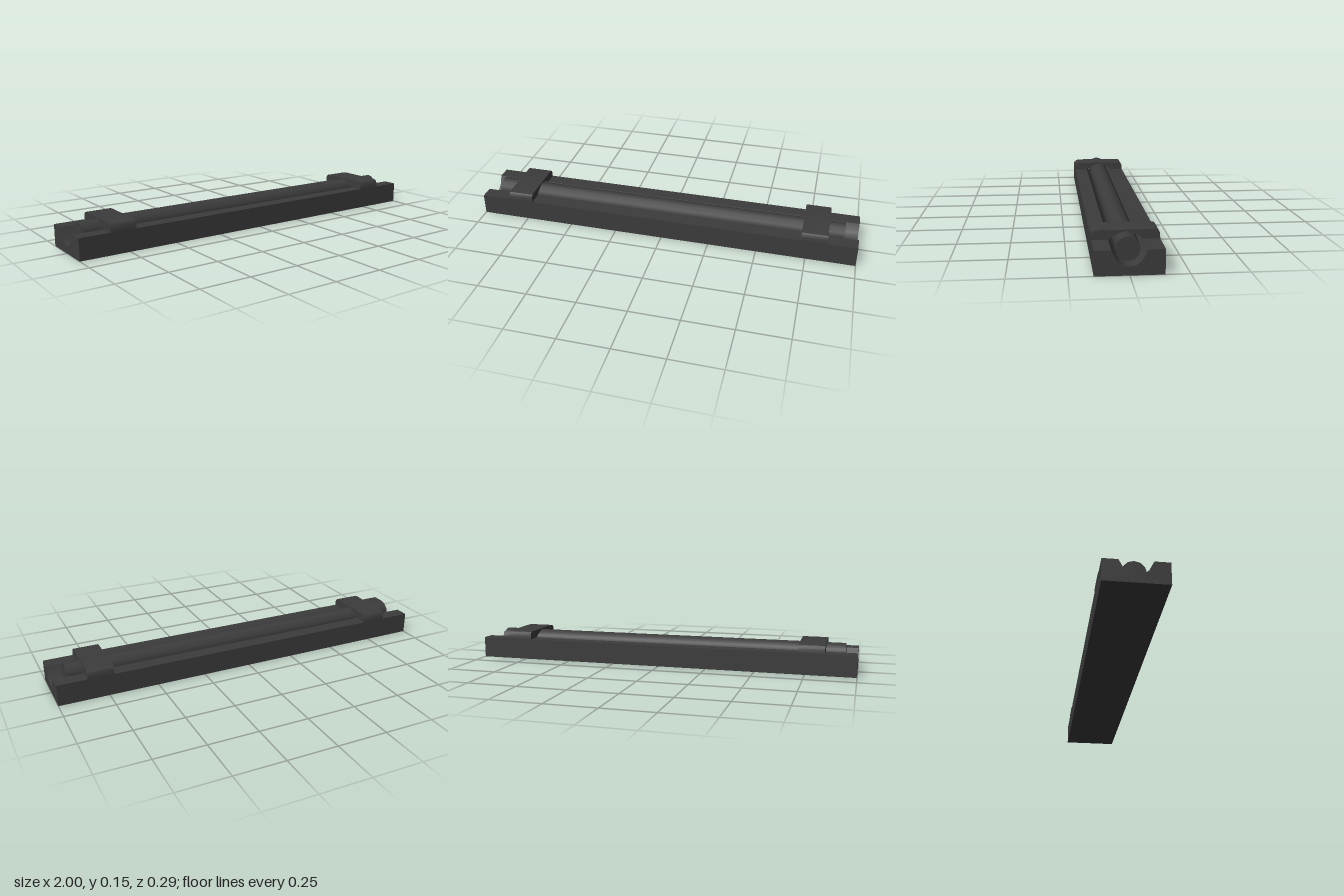
import * as THREE from 'three';
import { toCreasedNormals } from 'three/addons/utils/BufferGeometryUtils.js';

const material = new THREE.MeshStandardMaterial({ color: 0x3c3c3c });

// Mirrors half a cross-section (z, y) and extrudes it along x from x0 to x1
function extrudeAlongX(name, half, x0, x1) {
  const mirrored = half.filter(([z]) => z > 0).map(([z, y]) => [-z, y]).reverse();
  const points = [...half, ...mirrored].map(([z, y]) => new THREE.Vector2(z, y));
  const geometry = new THREE.ExtrudeGeometry(new THREE.Shape(points), {
    depth: x1 - x0,
    bevelEnabled: false,
  });
  geometry.translate(0, 0, x0).rotateY(Math.PI / 2);
  const mesh = new THREE.Mesh(toCreasedNormals(geometry, 0.6), material);
  mesh.name = name;
  return mesh;
}

export function createModel() {
  const group = new THREE.Group();
  group.name = 'clampedRodRail';

  // Base block with a rounded V-groove along its length
  group.add(extrudeAlongX('base', [
    [0.146, 0], [0.146, 0.108], [0.075, 0.108], [0.053, 0.064],
    [0.032, 0.046], [0.013, 0.039], [0, 0.038],
  ], -1, 1));

  // Rod lying in the groove
  const rodGeometry = new THREE.CylinderGeometry(0.053, 0.053, 1.87, 12);
  rodGeometry.rotateZ(Math.PI / 2);
  const rod = new THREE.Mesh(rodGeometry, material);
  rod.name = 'rod';
  rod.position.set(-0.005, 0.091, 0);
  group.add(rod);

  // Arched clamps over both ends of the rod
  const clamp = [
    [0, 0.136], [0.035, 0.131], [0.055, 0.124], [0.075, 0.108], [0.146, 0.108],
    [0.145, 0.131], [0.142, 0.139], [0.134, 0.147], [0.118, 0.15],
  ];
  group.add(extrudeAlongX('rightClamp', clamp, -0.845, -0.715));
  group.add(extrudeAlongX('leftClamp', clamp, 0.72, 0.85));

  return group;
}
